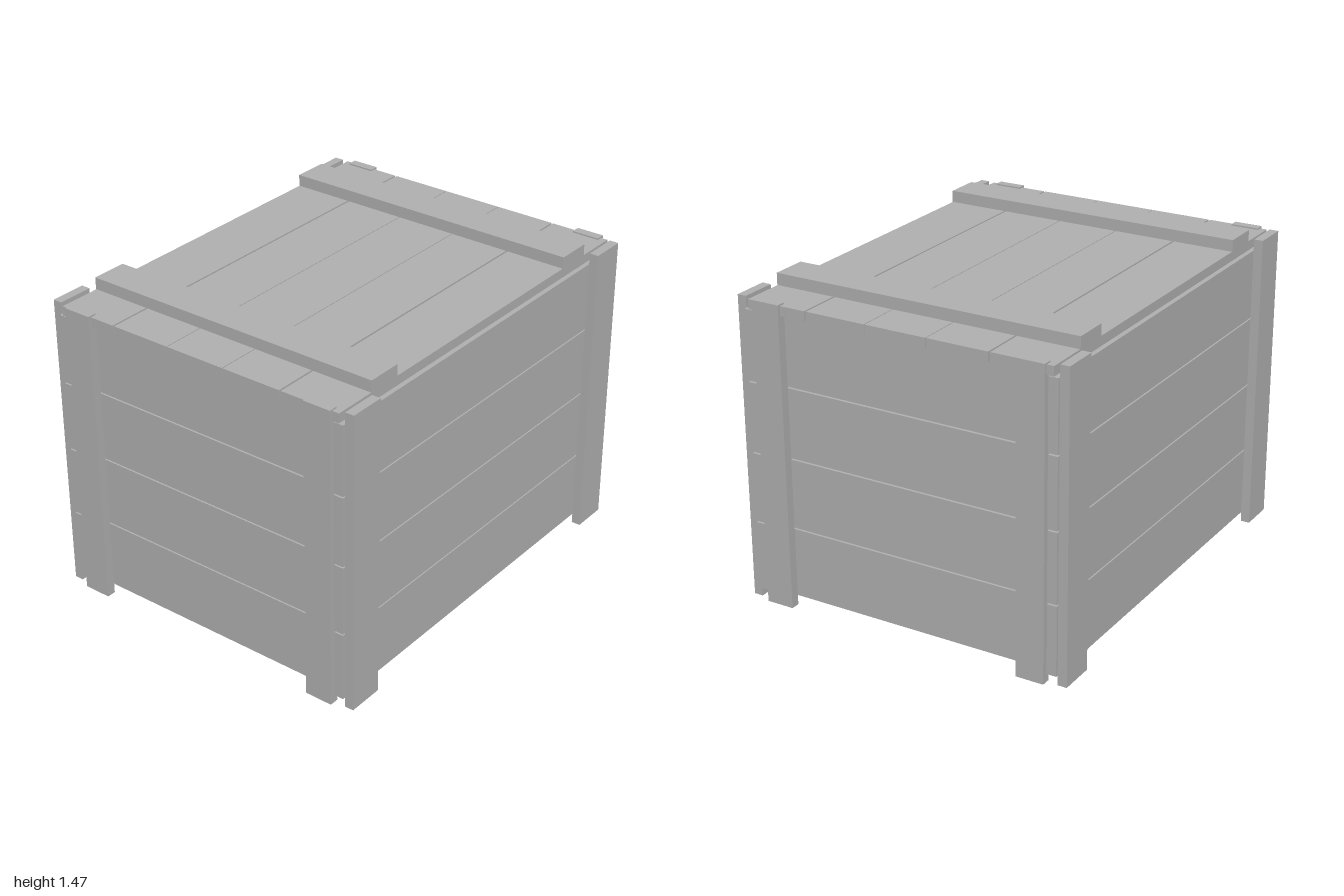
import * as THREE from 'three';

export function createModel() {
  const crate = new THREE.Group();
  crate.name = 'crate';
  const wood = new THREE.MeshStandardMaterial({ color: 0xb2b2b2 });
  wood.name = 'bare wood';

  // Board given by its minimum and maximum corners
  function board(name, x0, x1, y0, y1, z0, z1) {
    const geometry = new THREE.BoxGeometry(x1 - x0, y1 - y0, z1 - z0);
    const mesh = new THREE.Mesh(geometry, wood);
    mesh.name = name;
    mesh.position.set((x0 + x1) / 2, (y0 + y1) / 2, (z0 + z1) / 2);
    crate.add(mesh);
  }

  // Board placed by its inner and outer distance from the centre, on side s
  const span = (s, inner, outer) => (s > 0 ? [inner, outer] : [-outer, -inner]);

  // Four stacked planks on every wall, with narrow gaps
  const plankHeight = 0.3245, pitch = 0.3315;
  for (let i = 0; i < 4; i++) {
    const y0 = 0.046 + i * pitch, y1 = y0 + plankHeight;
    for (const s of [1, -1]) {
      board(s > 0 ? 'frontPlank' : 'backPlank', -0.712, 0.712, y0, y1, ...span(s, 0.915, 0.957));
      board(s > 0 ? 'leftPlank' : 'rightPlank', ...span(s, 0.712, 0.757), y0, y1, -0.986, 0.986);
    }
  }

  // Two uprights on every wall
  for (const sx of [1, -1]) {
    for (const sz of [1, -1]) {
      board('endUpright', ...span(sx, 0.572, 0.704), 0, 1.418, ...span(sz, 0.957, 1));
      board('sideUpright', ...span(sx, 0.757, 0.8), 0, 1.418, ...span(sz, 0.802, 0.973));
    }
  }

  // Lid planks
  for (const [x0, x1] of [[-0.737, -0.449], [-0.44, -0.15], [-0.146, 0.146], [0.15, 0.44], [0.449, 0.737]]) {
    board('lidPlank', x0, x1, 1.367, 1.411, -0.985, 0.985);
  }

  // Cross battens on the lid
  for (const s of [1, -1]) {
    board('lidBatten', -0.739, 0.739, 1.411, 1.466, ...span(s, 0.61, 0.78));
  }
  return crate;
}
